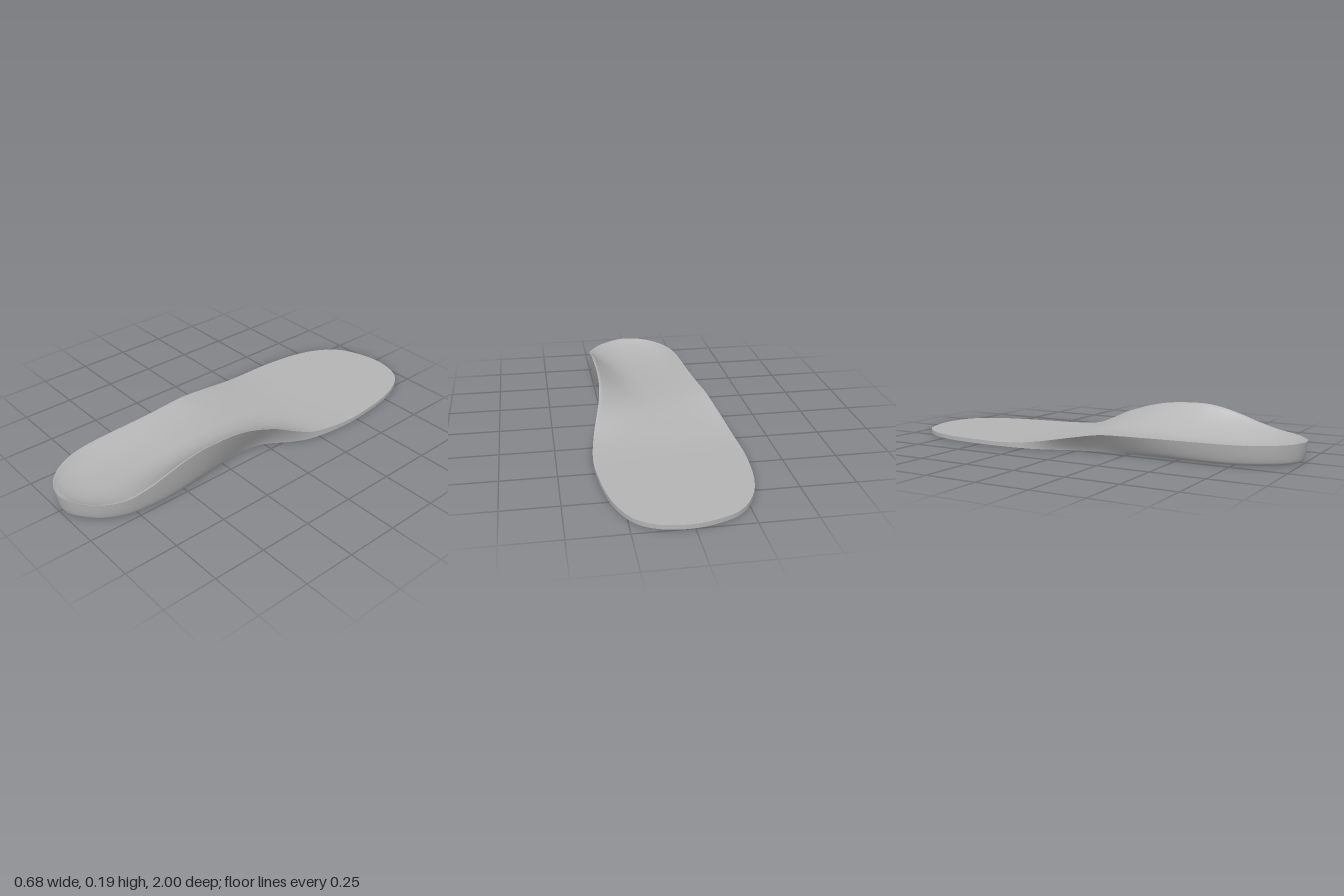
import * as THREE from 'three';
import { mergeVertices } from 'three/addons/utils/BufferGeometryUtils.js';

// Stations run from the toe tip (z = -1) to the heel tip (z = 1), spaced finely at both round ends
const toU = z => Math.acos(-z) / Math.PI;
const toZ = u => -Math.cos(u * Math.PI);

// Smooth cubic curve through [z, value] points, read by station u
function curve(points) {
  const p = points.map(([z, v]) => [toU(z), v]);
  const n = p.length - 1;
  const slope = i => {
    const a = p[Math.max(i - 1, 0)], b = p[Math.min(i + 1, n)];
    return (b[1] - a[1]) / (b[0] - a[0]);
  };
  return u => {
    let i = 0;
    while (i < n - 1 && u > p[i + 1][0]) i++;
    const h = p[i + 1][0] - p[i][0], t = (u - p[i][0]) / h;
    const t2 = t * t, t3 = t2 * t;
    return (2 * t3 - 3 * t2 + 1) * p[i][1] + (t3 - 2 * t2 + t) * h * slope(i)
      + (3 * t2 - 2 * t3) * p[i + 1][1] + (t3 - t2) * h * slope(i + 1);
  };
}

// Top outline: outer side (-x) and arch side (+x)
const outerEdge = curve([[-1, 0.03], [-0.98, -0.09], [-0.95, -0.165], [-0.9, -0.225], [-0.8, -0.285], [-0.7, -0.315],
  [-0.6, -0.33], [-0.42, -0.34], [-0.2, -0.325], [0, -0.3], [0.2, -0.273], [0.4, -0.255], [0.6, -0.243],
  [0.7, -0.234], [0.8, -0.212], [0.9, -0.16], [0.96, -0.1], [1, 0.01]]);
const archEdge = curve([[-1, 0.03], [-0.98, 0.145], [-0.95, 0.2], [-0.9, 0.245], [-0.8, 0.29], [-0.7, 0.314],
  [-0.6, 0.328], [-0.42, 0.339], [-0.2, 0.315], [0, 0.27], [0.1, 0.257], [0.2, 0.254], [0.4, 0.259], [0.6, 0.26],
  [0.7, 0.253], [0.8, 0.235], [0.9, 0.182], [0.96, 0.115], [1, 0.01]]);

// How far the sole is tucked in under each edge
const outerTuck = curve([[-1, 0], [-0.4, 0], [-0.2, 0.004], [0, 0.048], [0.15, 0.06], [0.4, 0.048],
  [0.7, 0.03], [0.9, 0.02], [1, 0]]);
const archTuck = curve([[-1, 0], [-0.4, 0], [-0.2, 0.004], [-0.1, 0.03], [0, 0.07], [0.1, 0.078], [0.2, 0.07],
  [0.4, 0.05], [0.6, 0.034], [0.8, 0.025], [0.9, 0.018], [1, 0]]);

// Heights of both rims and of the middle of the footbed
const outerRim = curve([[-1, 0.02], [-0.5, 0.02], [-0.35, 0.021], [-0.2, 0.034], [0, 0.068], [0.13, 0.088],
  [0.25, 0.09], [0.9, 0.09], [1, 0.09]]);
const archRim = curve([[-1, 0.02], [-0.5, 0.02], [-0.3, 0.028], [-0.2, 0.042], [-0.1, 0.08], [0, 0.123],
  [0.2, 0.177], [0.4, 0.19], [0.5, 0.179], [0.6, 0.153], [0.7, 0.121], [0.8, 0.097], [0.9, 0.09], [1, 0.09]]);
const bed = curve([[-1, 0.02], [-0.5, 0.02], [-0.3, 0.024], [-0.1, 0.04], [0.1, 0.055], [0.3, 0.055], [0.5, 0.046],
  [0.7, 0.043], [0.85, 0.05], [0.94, 0.066], [0.98, 0.082], [1, 0.09]]);

// Grid surface whose front faces along d/du x d/dv
function grid(nu, nv, point) {
  const pos = [], index = [];
  for (let i = 0; i <= nu; i++) for (let j = 0; j <= nv; j++) pos.push(...point(i / nu, j / nv));
  for (let i = 0; i < nu; i++) for (let j = 0; j < nv; j++) {
    const a = i * (nv + 1) + j, b = a + nv + 1;
    index.push(a, b, a + 1, b, b + 1, a + 1);
  }
  const g = new THREE.BufferGeometry();
  g.setAttribute('position', new THREE.Float32BufferAttribute(pos, 3));
  g.setIndex(index);
  const merged = mergeVertices(g, 1e-5);
  merged.computeVertexNormals();
  return merged;
}

// Dished top with a narrow flat lip
function bedPoint(u, v) {
  const l = outerEdge(u), r = archEdge(u), t = v * 2 - 1;
  const a = Math.min(1, Math.abs(t) * 1.03);
  const rise = t > 0 ? (archRim(u) - bed(u)) * a ** 2.1 : (outerRim(u) - bed(u)) * a ** 3;
  return [l + (r - l) * v, bed(u) + rise, toZ(u)];
}

// Side wall: rounded at the heel, hollowed under the arch; v = 0 at the rim, 1 at the sole
function wallPoint(u, v, onArch) {
  const z = toZ(u);
  const power = 0.45 + 0.75 * (1 - THREE.MathUtils.smoothstep(z, 0, 0.6));
  const tuck = 1 - (1 - v) ** power;
  const x = onArch ? archEdge(u) - archTuck(u) * tuck : outerEdge(u) + outerTuck(u) * tuck;
  const y = (onArch ? archRim(u) : outerRim(u)) * (1 - v);
  return [x, y, z > 0 ? z * (1 - 0.02 * tuck) : z];
}

export function createModel() {
  const group = new THREE.Group();
  group.name = 'insole';
  const grey = new THREE.MeshStandardMaterial({ color: 0xb4b4b4 });
  grey.name = 'grey foam';
  const add = (name, geometry) => {
    const mesh = new THREE.Mesh(geometry, grey);
    mesh.name = name;
    group.add(mesh);
  };

  add('footbed', grid(120, 64, bedPoint));
  // Around the arch side to the heel, then back along the outer side
  add('sideWall', grid(240, 14, (u, v) => u <= 0.5 ? wallPoint(u * 2, v, true) : wallPoint(2 - u * 2, v, false)));
  add('sole', grid(120, 8, (u, v) => {
    const r = wallPoint(u, 1, true), l = wallPoint(u, 1, false);
    return [r[0] + (l[0] - r[0]) * v, 0, r[2]];
  }));
  return group;
}
